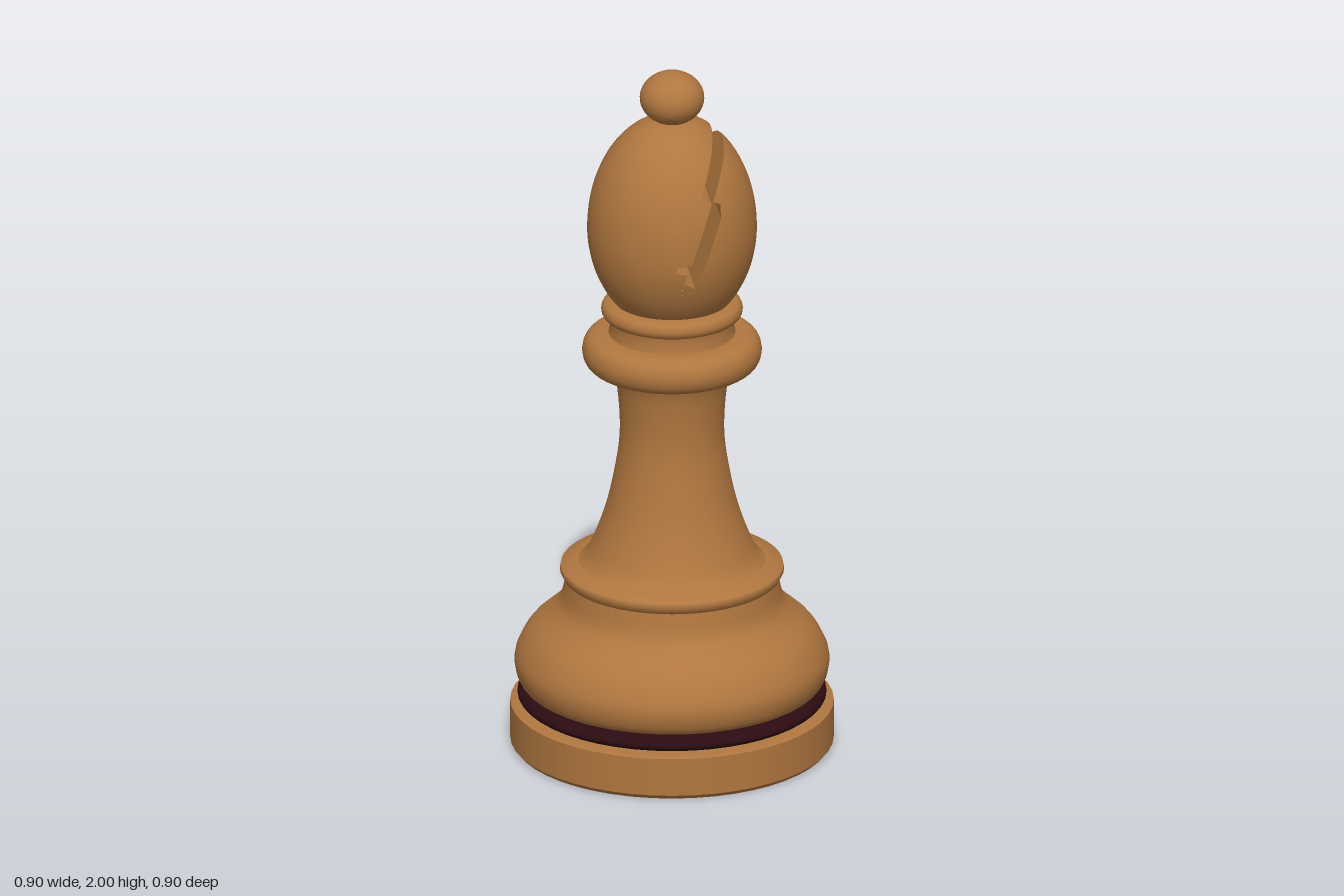
import * as THREE from 'three';

const wood = new THREE.MeshStandardMaterial({ color: 0xb0773f });
wood.name = 'wood';
const darkBand = new THREE.MeshStandardMaterial({ color: 0x2a0c12 });
darkBand.name = 'dark band';

const vec = (pts) => pts.map(([x, y]) => new THREE.Vector2(x, y));

function addMesh(group, name, geometry, material = wood) {
  const mesh = new THREE.Mesh(geometry, material);
  mesh.name = name;
  group.add(mesh);
  return mesh;
}

// Turned part; curved profiles run through a spline first
function turned(group, name, pts, { curved = false, material = wood } = {}) {
  const profile = curved ? new THREE.SplineCurve(vec(pts)).getPoints(pts.length * 4) : vec(pts);
  return addMesh(group, name, new THREE.LatheGeometry(profile, 48), material);
}

// Head outline: an egg with different upper and lower half heights
const HEAD = { r: 0.236, mid: 1.54, up: 0.33, down: 0.3 };
const halfHeight = (y) => (y > HEAD.mid ? HEAD.up : HEAD.down);
const headRadius = (y) => HEAD.r * Math.sqrt(Math.max(0, 1 - ((y - HEAD.mid) / halfHeight(y)) ** 2));

// Stepped slot edges as [y, x]
const SLOT_BOTTOM = 1.434;
const slotLeft = [[1.434, 0.037], [1.455, 0.003], [1.486, 0.012], [1.494, -0.02], [1.51, -0.018],
  [1.516, 0.024], [1.677, 0.085], [1.693, 0.055], [1.831, 0.109], [1.87, 0.15]];
const slotRight = [[1.434, 0.037], [1.635, 0.111], [1.672, 0.111], [1.683, 0.09], [1.804, 0.143]];

function edgeAt(edge, y) {
  for (let i = 1; i < edge.length; i++) {
    const [y0, x0] = edge[i - 1], [y1, x1] = edge[i];
    if (y <= y1) return x0 + ((x1 - x0) * (y - y0)) / (y1 - y0);
  }
  return edge[edge.length - 1][1];
}

// Surface through rows of points, each row above the last
function strip(rows, normals) {
  const cols = rows[0].length, index = [];
  for (let i = 0; i < rows.length - 1; i++) {
    for (let j = 0; j < cols - 1; j++) {
      const a = i * cols + j, b = a + 1, c = a + cols, d = c + 1;
      index.push(a, c, b, b, c, d);
    }
  }
  const geo = new THREE.BufferGeometry();
  geo.setAttribute('position', new THREE.Float32BufferAttribute(rows.flat(2), 3));
  geo.setIndex(index);
  if (normals) {
    geo.setAttribute('normal', new THREE.Float32BufferAttribute(normals, 3));
    return geo;
  }
  const flat = geo.toNonIndexed();
  flat.computeVertexNormals();
  return flat;
}

// One side of the split head: rounded skin plus the cut wall facing the slot
function headSide(group, name, edge, isLeftOfSlot) {
  const top = edge[edge.length - 1][0];
  const levels = edge.map((p) => p[0]);
  for (let i = 1; i < 24; i++) levels.push(SLOT_BOTTOM + ((top - SLOT_BOTTOM) * i) / 24);
  levels.sort((a, b) => a - b);
  const normals = [], segments = 32;
  const rows = levels.map((y) => {
    const r = headRadius(y);
    const t0 = r > 1e-6 ? Math.acos(THREE.MathUtils.clamp(edgeAt(edge, y) / r, -1, 1)) : 0;
    const [from, to] = isLeftOfSlot ? [t0, 2 * Math.PI - t0] : [-t0, t0];
    const bulge = isLeftOfSlot ? 1 + 0.06 * Math.max(0, 1 - Math.abs(y - 1.5) / 0.066) : 1;
    return Array.from({ length: segments + 1 }, (_, j) => {
      const t = from + ((to - from) * j) / segments;
      const x = r * Math.cos(t), z = r * Math.sin(t);
      const n = new THREE.Vector3(x / HEAD.r ** 2, (y - HEAD.mid) / halfHeight(y) ** 2, z / HEAD.r ** 2);
      normals.push(...n.normalize().toArray());
      return [x, y, z * bulge];
    });
  });
  addMesh(group, name + 'Skin', strip(rows, normals));
  addMesh(group, name + 'CutWall', strip(rows.map((row) => [row[segments], row[0]])));
}

export function createModel() {
  const model = new THREE.Group();
  model.name = 'chessBishop';

  // Foot
  turned(model, 'footUnderside', [[0, 0], [0.44, 0]]);
  turned(model, 'footBevel', [[0.44, 0], [0.45, 0.012]]);
  turned(model, 'footRim', [[0.45, 0.012], [0.45, 0.122]]);
  turned(model, 'footTop', [[0.45, 0.122], [0.435, 0.128], [0.36, 0.128]]);
  turned(model, 'footBand', [[0.38, 0.125], [0.415, 0.132], [0.43, 0.147], [0.418, 0.163], [0.38, 0.172]],
    { curved: true, material: darkBand });

  // Body
  turned(model, 'bulgeUnderside', [[0.34, 0.17], [0.385, 0.17]]);
  turned(model, 'bulge', [[0.385, 0.17], [0.42, 0.187], [0.437, 0.23], [0.433, 0.275], [0.4, 0.335],
    [0.34, 0.39], [0.31, 0.43], [0.296, 0.495]], { curved: true });
  turned(model, 'waistRing', [[0.285, 0.49], [0.303, 0.497], [0.312, 0.515], [0.309, 0.53], [0.265, 0.542], [0.24, 0.545]]);
  turned(model, 'stem', [[0.262, 0.54], [0.23, 0.58], [0.185, 0.7], [0.156, 0.835], [0.145, 0.94],
    [0.153, 1.06], [0.17, 1.122]], { curved: true });

  // Collars
  turned(model, 'collar', [[0.15, 1.118], [0.205, 1.118], [0.238, 1.135], [0.25, 1.17], [0.24, 1.205],
    [0.21, 1.223], [0.15, 1.225]], { curved: true });
  turned(model, 'neck', [[0.178, 1.22], [0.17, 1.25], [0.175, 1.28]]);
  turned(model, 'neckRing', [[0.16, 1.268], [0.187, 1.274], [0.197, 1.293], [0.188, 1.314], [0.16, 1.322]], { curved: true });

  // Head, split by the slot
  const lower = Array.from({ length: 9 }, (_, i) => {
    const y = 1.31 + ((SLOT_BOTTOM - 1.31) * i) / 8;
    return [headRadius(y), y];
  });
  turned(model, 'headLower', lower);
  headSide(model, 'headMain', slotLeft, true);
  headSide(model, 'headFlap', slotRight, false);

  // Finial ball
  const ball = addMesh(model, 'finial', new THREE.SphereGeometry(0.09, 32, 20));
  ball.scale.y = 0.84;
  ball.position.y = 1.924;

  return model;
}
